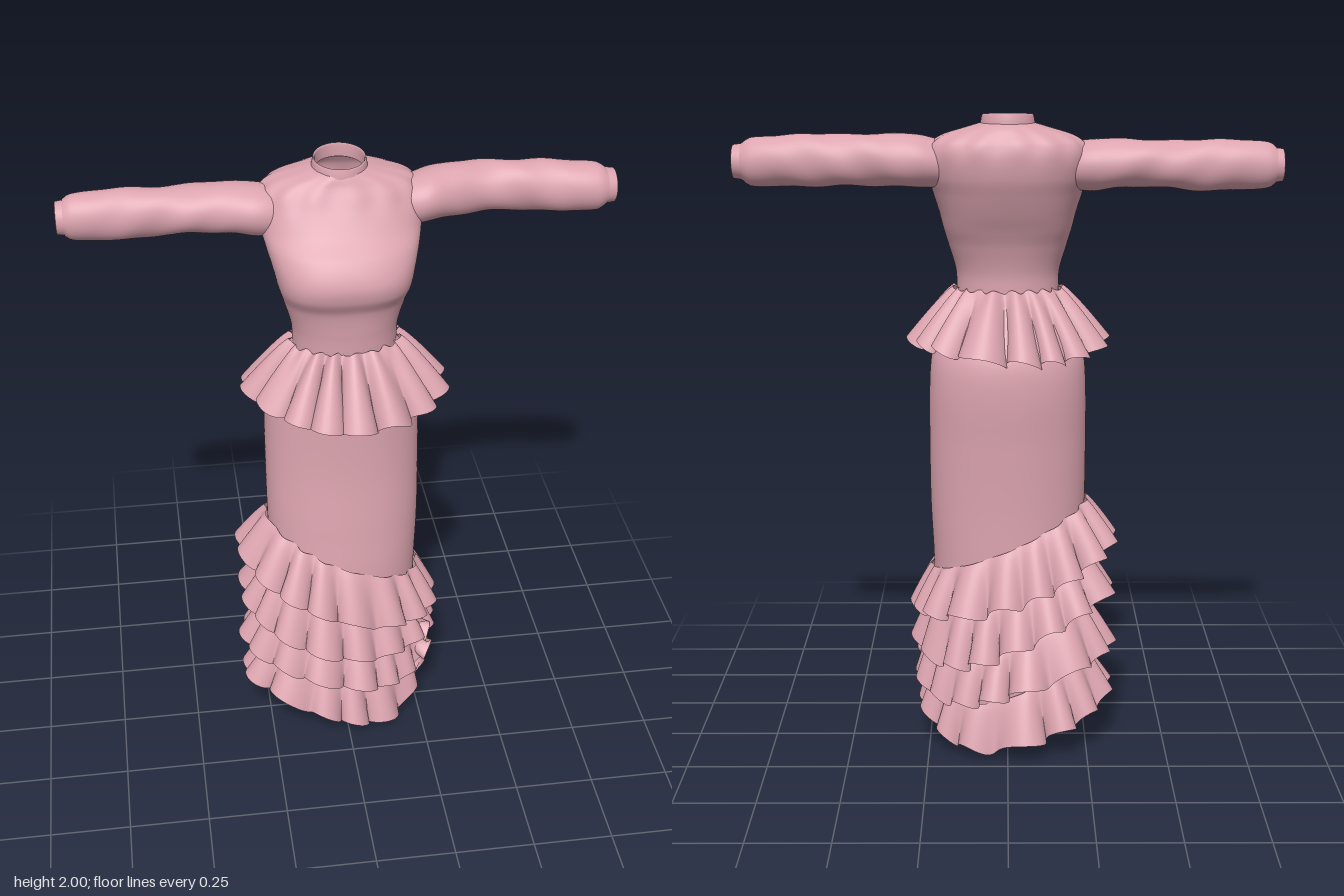
import * as THREE from 'three';

const { sin, cos, abs, sign, pow, exp, hypot, PI, max } = Math;
const lerp = THREE.MathUtils.lerp;
const rose = new THREE.MeshStandardMaterial({ color: 0xdca4af, side: THREE.DoubleSide });
rose.name = 'dusty rose cloth';

// Smooth surface from a rule (u runs around, v along); cells whose middle lies in a hole are left out.
function surface(name, nu, nv, rule, { closed = true, hole = () => false } = {}) {
  const pos = [], idx = [], cols = closed ? nu : nu + 1;
  for (let j = 0; j <= nv; j++)
    for (let i = 0; i < cols; i++) pos.push(...rule(i / nu, j / nv));
  for (let j = 0; j < nv; j++)
    for (let i = 0; i < nu; i++) {
      if (hole(...rule((i + 0.5) / nu, (j + 0.5) / nv))) continue;
      const k = (i + 1) % cols, a = j * cols + i, b = j * cols + k;
      const c = a + cols, d = b + cols;
      idx.push(a, c, b, b, c, d);
    }
  const g = new THREE.BufferGeometry();
  g.setAttribute('position', new THREE.Float32BufferAttribute(pos, 3));
  g.setIndex(idx);
  g.computeVertexNormals();
  const m = new THREE.Mesh(g, rose);
  m.name = name;
  return m;
}

// Cubic interpolation of table rows by their first column.
function sample(rows, t) {
  const n = rows.length, dir = sign(rows[n - 1][0] - rows[0][0]);
  let i = 0;
  while (i < n - 2 && (t - rows[i + 1][0]) * dir > 0) i++;
  const p = rows[i], q = rows[i + 1], h = q[0] - p[0];
  const o = rows[max(i - 1, 0)], r = rows[Math.min(i + 2, n - 1)];
  const s = THREE.MathUtils.clamp((t - p[0]) / h, 0, 1), s2 = s * s, s3 = s2 * s;
  return p.map((_, k) => {
    const mp = (q[k] - o[k]) / (q[0] - o[0]) * h, mq = (r[k] - p[k]) / (r[0] - p[0]) * h;
    return (2 * s3 - 3 * s2 + 1) * p[k] + (s3 - 2 * s2 + s) * mp + (3 * s2 - 2 * s3) * q[k] + (s3 - s2) * mq;
  });
}

// Rows: height, half width, front z, back z, squareness.
const bodiceRows = [
  [1.968, 0.08, 0.005, -0.155, 2], [1.955, 0.125, 0.012, -0.175, 2], [1.935, 0.19, 0.02, -0.19, 2.1],
  [1.91, 0.225, 0.035, -0.205, 2.2], [1.87, 0.24, 0.06, -0.212, 2.2], [1.81, 0.236, 0.105, -0.204, 2.2],
  [1.76, 0.224, 0.155, -0.185, 2.3], [1.70, 0.207, 0.184, -0.158, 2.5], [1.65, 0.195, 0.18, -0.132, 2.6],
  [1.60, 0.18, 0.156, -0.11, 2.4], [1.52, 0.158, 0.145, -0.088, 2.2], [1.45, 0.155, 0.14, -0.085, 2.1],
];
const skirtRows = [
  [1.46, 0.153, 0.138, -0.085, 2.1], [1.38, 0.2, 0.135, -0.135, 2.1], [1.28, 0.23, 0.122, -0.192, 2.1],
  [1.18, 0.239, 0.12, -0.205, 2.1], [1.0, 0.241, 0.126, -0.194, 2.1], [0.8, 0.24, 0.145, -0.185, 2.1],
  [0.6, 0.232, 0.16, -0.183, 2.1], [0.4, 0.235, 0.137, -0.175, 2], [0.2, 0.232, 0.105, -0.158, 2],
  [0.0, 0.225, 0.09, -0.15, 2],
];
// Point on a body table: angle 0 is the front, a quarter turn is the left side.
function bodyPoint(rows, a, y, out = 0) {
  const [, rx, zf, zb, n] = sample(rows, y);
  const s = sin(a), c = cos(a), e = 2 / n, cz = (zf + zb) / 2;
  return [sign(s) * pow(abs(s), e) * rx + s * out, y, cz + sign(c) * pow(abs(c), e) * (zf - zb) / 2 + c * out];
}

// Gathered frill hung from the body along a height rule, with rounded lobes that widen outwards.
function frill(name, rows, o) {
  return surface(name, 420, 12, (u, v) => {
    const a = u * PI * 2;
    const ph = o.folds * a + 0.9 * sin(3 * a + o.seed) + 0.5 * sin(5 * a + 2 * o.seed);
    const size = 1 + 0.35 * sin(4 * a + o.seed * 3);
    const wave = sin(ph) * o.amp * size * (0.25 + 0.75 * v);
    const top = o.top(a);
    const y = max(0, top - v * o.drop * (1 + 0.1 * sin(2 * a + o.seed)) + 0.014 * v * sin(ph + 0.6));
    const flare = o.flare - o.lean * sin(a);
    const p = bodyPoint(rows, a, top, 0.006 + flare * pow(v, 0.85) + wave);
    const sway = (-0.8 * cos(ph) + 0.3 * sin(2 * a + o.seed)) * o.amp * v * size;
    return [p[0] + cos(a) * sway, y, p[2] - sin(a) * sway];
  });
}

// Diagonal wrap line of the frills, lifted towards the side opening.
const tierTop = (k) => (a) => {
  const s = sin(a), d = Math.atan2(-cos(a), s);
  return 0.682 - 0.11 * s + 0.022 * s * s - 0.165 * k + 0.062 * k * exp(-pow(d / 0.55, 2) / 2);
};

// Rows: distance along arm, centre y, centre z, half height, half depth.
const sleeveRows = {
  left: [
    [0.18, 1.848, -0.068, 0.066, 0.076], [0.22, 1.851, -0.07, 0.073, 0.088], [0.26, 1.857, -0.076, 0.077, 0.092],
    [0.32, 1.86, -0.088, 0.076, 0.084], [0.42, 1.861, -0.1, 0.077, 0.068], [0.55, 1.86, -0.09, 0.076, 0.068],
    [0.68, 1.856, -0.076, 0.075, 0.069], [0.76, 1.853, -0.068, 0.071, 0.066], [0.785, 1.854, -0.067, 0.054, 0.055],
  ],
  right: [
    [0.18, 1.842, -0.068, 0.066, 0.076], [0.22, 1.843, -0.07, 0.074, 0.088], [0.26, 1.845, -0.074, 0.076, 0.092],
    [0.32, 1.85, -0.082, 0.071, 0.086], [0.42, 1.85, -0.088, 0.07, 0.075], [0.55, 1.845, -0.09, 0.073, 0.066],
    [0.68, 1.846, -0.088, 0.074, 0.062], [0.77, 1.845, -0.087, 0.067, 0.057], [0.79, 1.845, -0.087, 0.052, 0.05],
  ],
};
function sleeve(side) {
  const m = side === 'left' ? 1 : -1, rows = sleeveRows[side];
  const g = new THREE.Group();
  g.name = side + 'Sleeve';
  const end = rows[rows.length - 1];
  g.add(surface(side + 'SleeveCloth', 48, 48, (u, v) => {
    const a = -m * u * PI * 2, t = lerp(rows[0][0], end[0], v);
    const [, cy, cz, ry, rz] = sample(rows, t);
    // soft drag folds winding round the arm
    const k = 1 + sin(PI * v) * (0.03 * sin(24 * t + 2 * a) + 0.025 * sin(41 * t - 3 * a + 1));
    return [m * t, cy + cos(a) * ry * k, cz + sin(a) * rz * k];
  }));
  // cuff band with a turned-in edge
  const cuff = [[0.78, 1], [0.81, 0.92], [0.812, 0.86], [0.79, 0.82], [0.77, 0.82]];
  g.add(surface(side + 'Cuff', 40, 4, (u, v) => {
    const a = -m * u * PI * 2, [t, k] = cuff[Math.round(v * 4)];
    return [m * t, end[1] + cos(a) * end[3] * k, end[2] + sin(a) * end[4] * k];
  }));
  return g;
}

export function createModel() {
  const model = new THREE.Group();
  model.name = 'frilledDress';

  // Fitted bodice with open armholes and faint gathers below the neck
  model.add(surface('bodice', 160, 90, (u, v) => {
    const a = u * PI * 2, y = lerp(1.968, 1.45, v);
    return bodyPoint(bodiceRows, a, y, 0.003 * sin(14 * a) * exp(-pow((y - 1.91) / 0.04, 2)));
  }, { hole: (x, y, z) => abs(x) > 0.17 && hypot((y - 1.846) / 0.058, (z + 0.07) / 0.066) < 1 }));

  // Stand collar, higher at the back, folded over to the inside
  const band = [[1.945, 1.04], [1.965, 1.03], [1.985, 0.98], [1.992, 0.95], [1.985, 0.9], [1.95, 0.93]];
  model.add(surface('collar', 64, 5, (u, v) => {
    const a = u * PI * 2, [y, k] = band[Math.round(v * 5)];
    return [sin(a) * 0.079 * k, y - 0.008 * cos(a), -0.072 + cos(a) * 0.081 * k];
  }));

  model.add(sleeve('left'), sleeve('right'));

  // Long skirt ending beneath the lowest frill
  model.add(surface('skirt', 96, 60, (u, v) => {
    const a = u * PI * 2;
    return bodyPoint(skirtRows, a, lerp(1.46, tierTop(3)(a) - 0.08, v));
  }));

  // Waist frill
  model.add(frill('waistFrill', bodiceRows, {
    top: (a) => 1.467 + 0.005 * sin(20 * a), drop: 0.185, flare: 0.122, lean: 0, amp: 0.027, folds: 16, seed: 0.8,
  }));

  // Four tiers of hem frills
  for (let k = 0; k < 4; k++)
    model.add(frill('hemFrill' + (k + 1), skirtRows, {
      top: tierTop(k), drop: 0.15, flare: 0.072 - 0.006 * k, lean: 0.015 + 0.004 * k,
      amp: 0.019, folds: 17 - k, seed: 1.3 + k * 1.7,
    }));

  // Frill falling down the edge of the side opening
  model.add(surface('cascadeFrill', 90, 6, (u, v) => {
    const a = lerp(0.85, 1.25, u), y = lerp(0.55, 0.14, u);
    const p = bodyPoint(skirtRows, a, y, 0.085 * v * sin(PI * (0.12 + 0.8 * u)));
    const w = 0.028 * v * sin(u * 24);
    return [p[0] + cos(a) * w, p[1] - 0.03 * v, p[2] - sin(a) * w];
  }, { closed: false }));

  return model;
}
